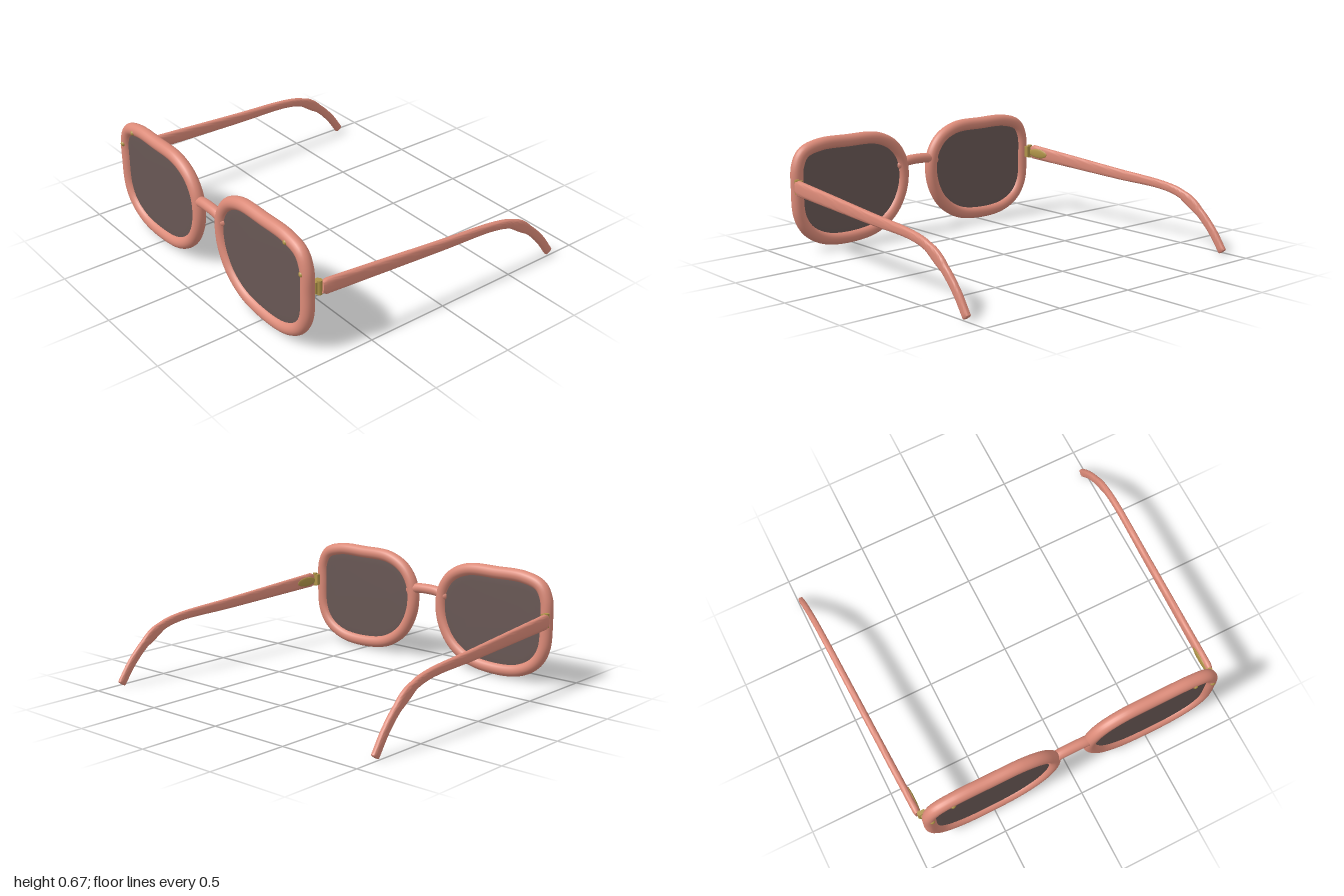
import * as THREE from 'three';
import { toCreasedNormals } from 'three/addons/utils/BufferGeometryUtils.js';

const RIM_Z = 0.83;

// Centre line of the model's left rim
const RIM = [
  [0.527, 0.637], [0.313, 0.629], [0.195, 0.575], [0.131, 0.49], [0.112, 0.39], [0.131, 0.275],
  [0.2, 0.158], [0.324, 0.075], [0.5, 0.045], [0.698, 0.061], [0.816, 0.126], [0.872, 0.222],
  [0.883, 0.388], [0.877, 0.52], [0.835, 0.596], [0.72, 0.634],
];

// Temple centre line: z, y, half height
const TEMPLE = [
  [0.77, 0.41, 0.046], [0.4, 0.389, 0.04], [0, 0.366, 0.033], [-0.4, 0.344, 0.026], [-0.53, 0.311, 0.027],
  [-0.66, 0.228, 0.027], [-0.763, 0.125, 0.026], [-0.842, 0.014, 0.025],
];
const templeX = z => 0.925 + (0.77 - z) * 0.0342;

// Rounded-rectangle section swept along the temple line, tapering to the tip
function templeGeometry(side) {
  const path = new THREE.CatmullRomCurve3(TEMPLE.map(([z, y]) => new THREE.Vector3(0, y, z)));
  const sizes = new THREE.CatmullRomCurve3(TEMPLE.map(p => new THREE.Vector3(p[2], 0, 0)));
  const steps = 56, sides = 24, pos = [], idx = [];
  const round = v => Math.sign(v) * Math.pow(Math.abs(v), 0.65);
  const ring = (t, shrink) => {
    const p = path.getPoint(t), d = path.getTangent(t);
    const h = sizes.getPoint(t).x * shrink, w = (0.02 - 0.004 * t) * shrink;
    for (let j = 0; j < sides; j++) {
      const a = j / sides * Math.PI * 2, up = h * round(Math.sin(a));
      pos.push(side * templeX(p.z) + w * round(Math.cos(a)), p.y - d.z * up, p.z + d.y * up);
    }
  };
  ring(0, 0.75);
  for (let i = 0; i <= steps; i++) ring(0.01 + 0.985 * i / steps, 1);
  ring(1, 0.8);
  const rings = steps + 3;
  for (let i = 0; i < rings - 1; i++) {
    for (let j = 0; j < sides; j++) {
      const k = (j + 1) % sides, a = i * sides, b = a + sides;
      idx.push(a + j, b + j, a + k, a + k, b + j, b + k);
    }
  }
  const last = (rings - 1) * sides;
  for (let j = 1; j < sides - 1; j++) idx.push(0, j, j + 1, last, last + j + 1, last + j);
  const geo = new THREE.BufferGeometry();
  geo.setAttribute('position', new THREE.Float32BufferAttribute(pos, 3));
  geo.setIndex(idx);
  return toCreasedNormals(geo, 0.7);
}

export function createModel() {
  const model = new THREE.Group();
  model.name = 'glasses';
  const make = (name, color) => new THREE.MeshStandardMaterial({ name, color });
  const coral = make('coral frame', 0xdb8a78);
  const smoke = make('smoke lens', 0x685754);
  const brass = make('brass', 0xae9348);
  const add = (name, geo, mat, parent, x = 0, y = 0, z = 0) => {
    const mesh = new THREE.Mesh(geo, mat);
    mesh.name = name;
    mesh.position.set(x, y, z);
    parent.add(mesh);
    return mesh;
  };

  for (const s of [1, -1]) {
    const half = new THREE.Group();
    half.name = s > 0 ? 'leftHalf' : 'rightHalf';
    model.add(half);

    // Rim
    const curve = new THREE.CatmullRomCurve3(RIM.map(([x, y]) => new THREE.Vector3(s * x, y, RIM_Z)), true);
    add('rim', new THREE.TubeGeometry(curve, 128, 0.038, 20, true), coral, half);

    // Lens, thinning slightly towards its edge
    const outline = new THREE.Shape(curve.getPoints(96).slice(0, -1).map(p => new THREE.Vector2(p.x, p.y)));
    const lens = new THREE.ExtrudeGeometry(outline, {
      depth: 0.008, bevelThickness: 0.01, bevelSize: 0.07, bevelOffset: -0.07, bevelSegments: 5,
    });
    add('lens', toCreasedNormals(lens, 0.6), smoke, half, 0, 0, RIM_Z - 0.004);

    // Rivets on the rim front
    for (const [x, y] of [[0.745, 0.622], [0.875, 0.498]]) {
      add('rivet', new THREE.SphereGeometry(0.016, 16, 12), brass, half, s * x, y, 0.86);
    }

    // Hinge: rim block, barrel and the oval plate inside the temple
    add('hingeBlock', new THREE.BoxGeometry(0.035, 0.07, 0.04), brass, half, s * 0.9, 0.41, 0.785);
    add('hingeBarrel', new THREE.CylinderGeometry(0.015, 0.015, 0.085, 16), brass, half, s * 0.915, 0.41, 0.778);
    const plate = add('hingePlate', new THREE.SphereGeometry(1, 24, 12), brass, half, s * 0.909, 0.405, 0.69);
    plate.scale.set(0.008, 0.03, 0.085);

    // Temple
    add('temple', templeGeometry(s), coral, half);

    // Rounded bridge end
    add('bridgeEnd', new THREE.SphereGeometry(0.03, 20, 14), coral, half, s * 0.135, 0.44, RIM_Z);
  }

  // Bridge
  const arch = [[-0.135, 0.44], [-0.08, 0.457], [0, 0.462], [0.08, 0.457], [0.135, 0.44]];
  const bridge = new THREE.CatmullRomCurve3(arch.map(([x, y]) => new THREE.Vector3(x, y, RIM_Z)));
  add('bridge', new THREE.TubeGeometry(bridge, 32, 0.031, 20), coral, model);

  return model;
}
